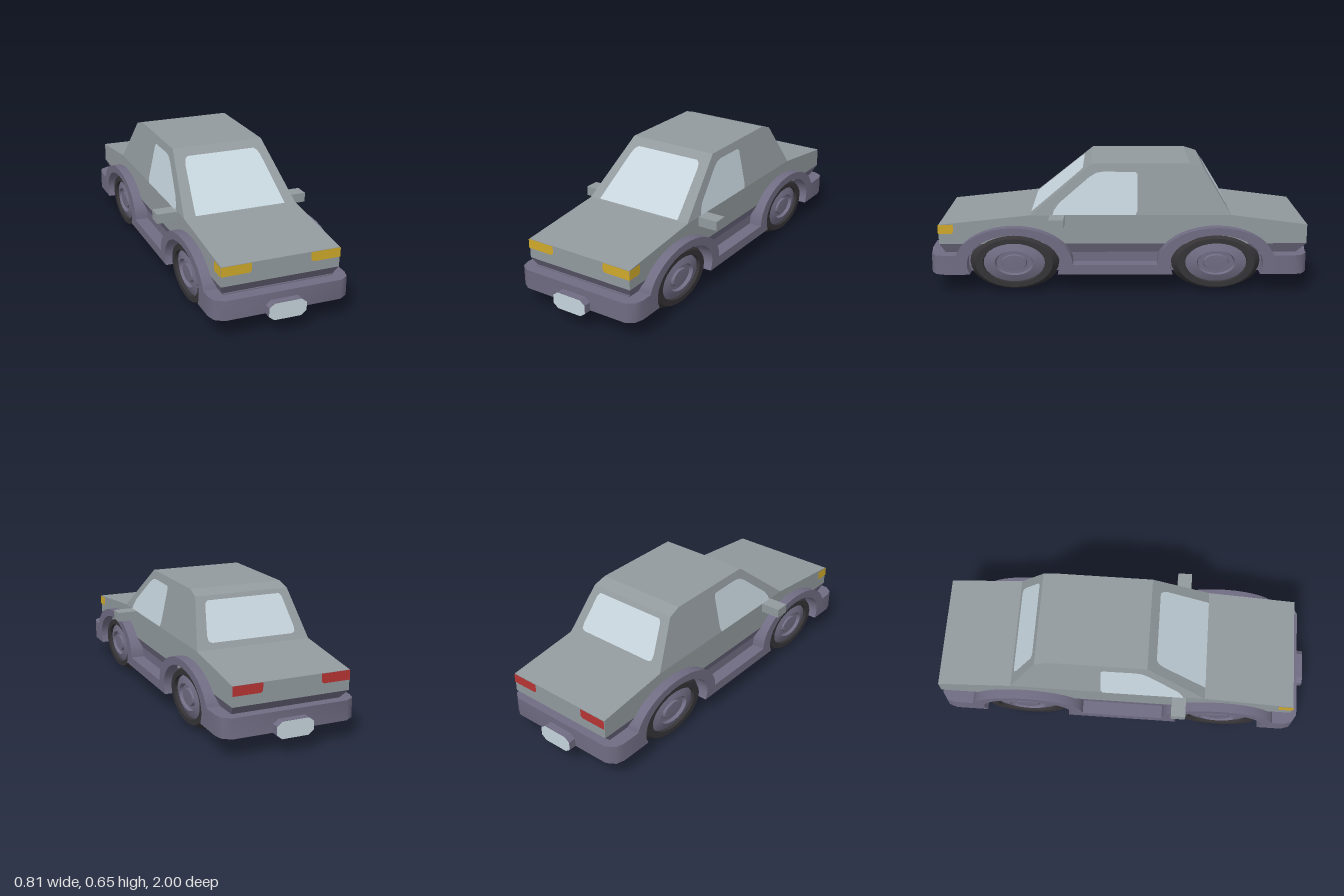
import * as THREE from 'three';
import { toCreasedNormals } from 'three/addons/utils/BufferGeometryUtils.js';
import { ConvexGeometry } from 'three/addons/geometries/ConvexGeometry.js';

const V = (x, y, z) => new THREE.Vector3(x, y, z);

function material(name, color) {
  const m = new THREE.MeshStandardMaterial({ color });
  m.name = name;
  return m;
}

export function createModel() {
  const car = new THREE.Group();
  car.name = 'car';
  const paint = material('body grey', 0x929a9e);
  const trim = material('trim purple grey', 0x706c83);
  const glass = material('pale glass', 0xc6d4dc);
  const rubber = material('tyre black', 0x353336);
  const amber = material('headlight amber', 0xcfa92b);
  const red = material('tail light red', 0xb83434);

  function add(name, geometry, mat, parent = car) {
    const mesh = new THREE.Mesh(geometry, mat);
    mesh.name = name;
    parent.add(mesh);
    return mesh;
  }

  // Convex solid from [halfWidth, y, z] points mirrored in x
  const solid = (pts) => new ConvexGeometry(pts.flatMap(([x, y, z]) => [V(x, y, z), V(-x, y, z)]));

  // Thin flat panel lifted slightly off the surface, facing the outward direction
  function panel(name, mat, pts, outward, lift = 0.004) {
    const n = pts[1].clone().sub(pts[0]).cross(pts[2].clone().sub(pts[0])).normalize();
    let p = pts;
    if (n.dot(outward) < 0) {
      n.negate();
      p = [...pts].reverse();
    }
    const pos = [];
    for (let i = 1; i < p.length - 1; i++) {
      for (const q of [p[0], p[i], p[i + 1]]) pos.push(...q.clone().addScaledVector(n, lift).toArray());
    }
    const g = new THREE.BufferGeometry();
    g.setAttribute('position', new THREE.Float32BufferAttribute(pos, 3));
    g.computeVertexNormals();
    return add(name, g, mat);
  }

  // Body shell
  const sideX = (y) => 0.3 - (y - 0.4) * 0.055 / 0.255;
  add('lowerTrim', solid([
    [0.28, 0.2, 0.89], [0.28, 0.2, -0.91], [0.3, 0.25, 0.92], [0.3, 0.25, -0.96],
  ]), trim);
  add('lowerBody', solid([
    [0.3, 0.25, 0.92], [0.3, 0.35, 0.92], [0.3, 0.4, 0.45],
    [0.3, 0.4, -0.57], [0.3, 0.35, -0.96], [0.3, 0.25, -0.96],
  ]), paint);
  add('cabin', solid([[0.4, 0.45], [0.655, 0.14], [0.655, -0.36], [0.632, -0.43], [0.4, -0.57]]
    .map(([y, z]) => [sideX(y), y, z])), paint);

  // Windows
  const both = (half) => [...half, ...[...half].reverse().map(([x, y]) => [-x, y])];
  panel('windscreen', glass,
    both([[0.24, 0.402], [0.232, 0.45], [0.207, 0.59], [0.198, 0.61], [0.182, 0.62]])
      .map(([x, y]) => V(x, y, 0.45 - (y - 0.4) * 0.31 / 0.255)), V(0, 1, 1));
  panel('rearWindow', glass,
    both([[0.215, 0.428], [0.232, 0.436], [0.234, 0.46], [0.208, 0.595], [0.195, 0.61]])
      .map(([x, y]) => V(x, y, -0.57 + (y - 0.4) * 0.14 / 0.232)), V(0, 1, -1));

  // Side windows, mirrors and lamps
  for (const s of [1, -1]) {
    const side = s > 0 ? 'left' : 'right';
    panel(side + 'Window', glass, [
      [-0.085, 0.402], [0.337, 0.402], [0.33, 0.425], [0.305, 0.46], [0.15, 0.59],
      [0.115, 0.61], [0.08, 0.616], [-0.085, 0.614], [-0.095, 0.6], [-0.095, 0.425],
    ].map(([z, y]) => V(s * sideX(y), y, z)), V(s, 0, 0));
    const mirror = add(side + 'Mirror', new THREE.BoxGeometry(0.125, 0.049, 0.075), paint);
    mirror.position.set(s * 0.343, 0.376, 0.315);

    const lamp = [[0.302, 0.302], [0.162, 0.302], [0.15, 0.312], [0.15, 0.35], [0.302, 0.35]];
    panel(side + 'Headlight', amber, lamp.map(([x, y]) => V(s * x, y, 0.92)), V(0, 0, 1));
    panel(side + 'HeadlightSide', amber,
      [[0.923, 0.302], [0.855, 0.302], [0.845, 0.312], [0.845, 0.352], [0.923, 0.35]]
        .map(([z, y]) => V(s * 0.3, y, z)), V(s, 0, 0), 0.003);
    panel(side + 'TailLight', red, lamp.map(([x, y]) => V(s * Math.min(x, 0.3), y, -0.96)), V(0, 0, -1));
  }

  // Fenders and sills: side profile with wheel openings
  const wheelZ = [0.537, -0.497], wheelY = 0.153;
  const arc = (c, rz, ry, a0, a1, n = 18) => Array.from({ length: n + 1 }, (_, i) => {
    const a = a0 + (a1 - a0) * i / n;
    return new THREE.Vector2(c + rz * Math.cos(a), wheelY + ry * Math.sin(a));
  });
  const [zf, zr] = wheelZ, PI = Math.PI;
  const fenderShape = new THREE.Shape([
    new THREE.Vector2(zf + 0.293, 0.1),
    ...arc(zf, 0.302, 0.192, 0.247, PI + 0.016),
    ...arc(zr, 0.302, 0.192, -0.016, PI - 0.247),
    new THREE.Vector2(zr - 0.293, 0.1),
    ...arc(zr, 0.238, 0.154, PI + 0.35, -0.35),
    ...arc(zf, 0.238, 0.154, PI + 0.35, -0.35),
  ]);
  const fenders = new THREE.ExtrudeGeometry(fenderShape, { depth: 0.7, bevelEnabled: false });
  fenders.rotateY(-PI / 2).translate(0.35, 0, 0);
  add('fendersAndSills', toCreasedNormals(fenders, 0.5), trim);
  add('floor', new THREE.BoxGeometry(0.56, 0.104, 1.8), trim).position.set(0, 0.153, 0);

  // Bumpers with rounded corners, and blank plates
  for (const s of [1, -1]) {
    const end = s > 0 ? 'front' : 'rear';
    const inner = s > 0 ? zf + 0.29 : -zr + 0.29;
    const plan = [[0.35, inner], [0.35, 0.89], [0.337, 0.933], [0.295, 0.96]];
    const bumper = solid([0.1, 0.2].flatMap((y) => plan.map(([x, z]) => [x, y, s * z])));
    add(end + 'Bumper', toCreasedNormals(bumper, 0.75), trim);

    const octagon = [[0.068, 0.079], [0.095, 0.1], [0.095, 0.143], [0.068, 0.164]];
    add(end + 'PlateHolder', solid([0.94, 0.997].flatMap((z) => octagon.map(([x, y]) => [x, y, s * z]))), trim);
    panel(end + 'Plate', glass, both(octagon).map(([x, y]) => V(x, y, s * 0.997)), V(0, 0, s), 0.003);
  }

  // Wheels: lathed profiles [radius, outward offset], stretched lengthwise
  const lathe = (pts) => {
    const g = new THREE.LatheGeometry(pts.map(([r, h]) => new THREE.Vector2(r, h)), 28);
    g.rotateZ(-PI / 2).scale(1, 0.153, 0.236);
    return toCreasedNormals(g, 0.38);
  };
  const tyre = lathe([[0, 0.135], [0.84, 0.135], [1, 0.19], [1, 0.27], [0.84, 0.325], [0.68, 0.325], [0.66, 0.3]]);
  const rim = lathe([[0.67, 0.308], [0.62, 0.312], [0.42, 0.324], [0.39, 0.306], [0.28, 0.306], [0.26, 0.32], [0, 0.322]]);
  wheelZ.forEach((z, i) => {
    for (const s of [1, -1]) {
      const wheel = new THREE.Group();
      wheel.name = (i ? 'rear' : 'front') + (s > 0 ? 'Left' : 'Right') + 'Wheel';
      wheel.position.set(0, wheelY, z);
      wheel.rotation.y = s > 0 ? 0 : PI;
      add('tyre', tyre, rubber, wheel);
      add('rim', rim, trim, wheel);
      car.add(wheel);
    }
  });

  return car;
}
